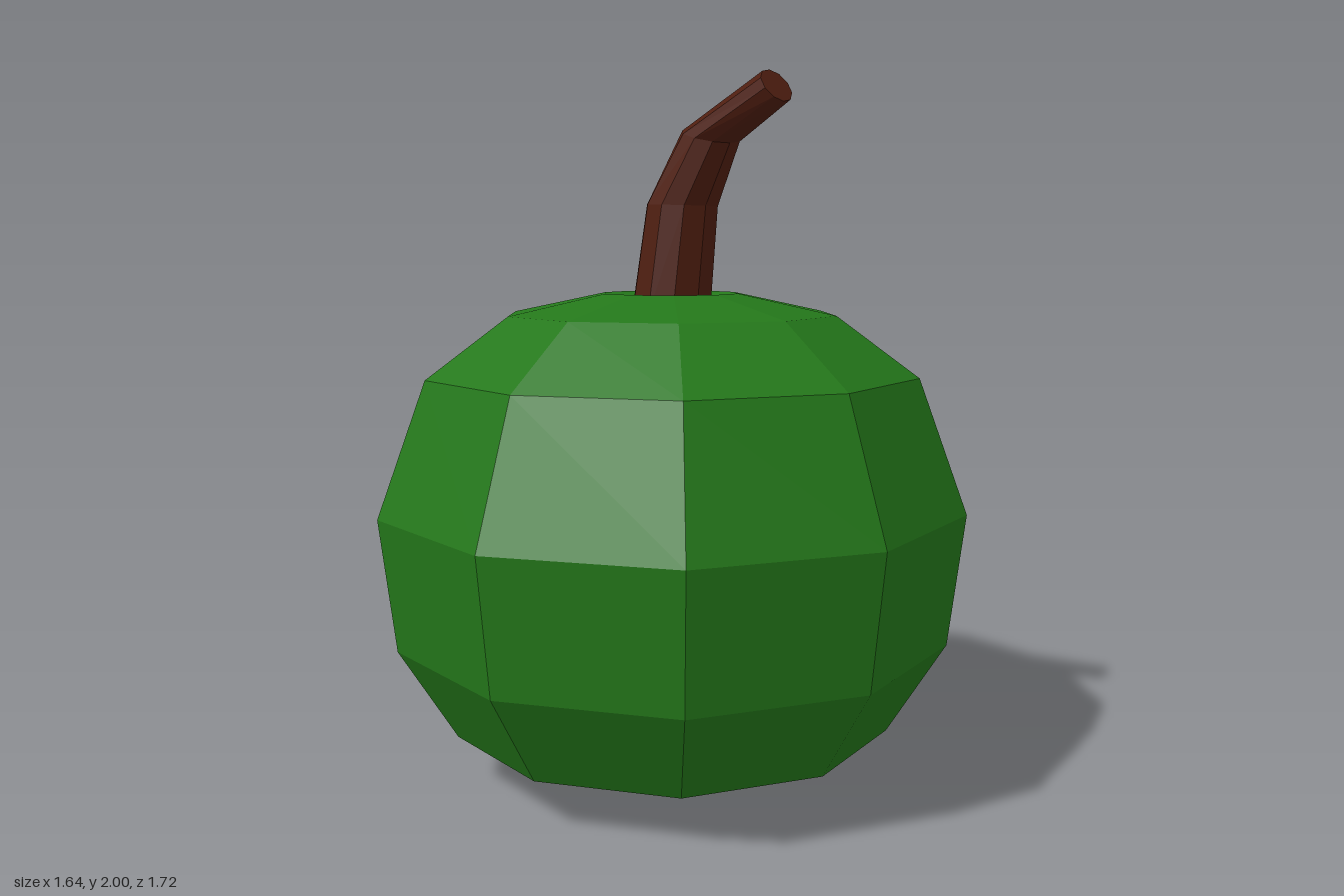
import * as THREE from 'three';

const SIDES = 10;

// Skin a tapering stem through tilted rings: { at, normal, r }
function ringTube(rings) {
  const pos = [], index = [];
  const up = new THREE.Vector3(0, 1, 0);
  for (const { at, normal, r } of rings) {
    const tilt = new THREE.Quaternion().setFromUnitVectors(up, new THREE.Vector3(...normal).normalize());
    for (let i = 0; i < SIDES; i++) {
      const a = (i / SIDES) * Math.PI * 2;
      const p = new THREE.Vector3(Math.sin(a) * r, 0, Math.cos(a) * r).applyQuaternion(tilt);
      pos.push(p.x + at[0], p.y + at[1], p.z + at[2]);
    }
  }
  for (let k = 0; k < rings.length - 1; k++) {
    for (let i = 0; i < SIDES; i++) {
      const j = (i + 1) % SIDES;
      const a = k * SIDES + i, b = k * SIDES + j;
      index.push(a, b, b + SIDES, a, b + SIDES, a + SIDES);
    }
  }
  // End caps
  const last = (rings.length - 1) * SIDES;
  for (let i = 1; i < SIDES - 1; i++) {
    index.push(last, last + i, last + i + 1);
    index.push(0, i + 1, i);
  }
  const geo = new THREE.BufferGeometry();
  geo.setAttribute('position', new THREE.Float32BufferAttribute(pos, 3));
  geo.setIndex(index);
  geo.computeVertexNormals();
  return geo;
}

export function createModel() {
  const model = new THREE.Group();
  model.name = 'pumpkin';

  // Faceted body, dented at the bottom and top
  const profile = [
    [0, 0.06], [0.31, 0], [0.65, 0.14], [0.815, 0.41], [0.86, 0.79],
    [0.72, 1.17], [0.485, 1.34], [0.2, 1.4], [0, 1.34],
  ].map(([r, y]) => new THREE.Vector2(r, y));
  const body = new THREE.Mesh(
    new THREE.LatheGeometry(profile, SIDES),
    new THREE.MeshStandardMaterial({ color: 0x24781a, flatShading: true })
  );
  body.name = 'body';
  model.add(body);

  // Bent stem leaning to the left and a little forward
  const stem = new THREE.Mesh(
    ringTube([
      { at: [0, 1.34, 0], normal: [0, 1, 0], r: 0.118 },
      { at: [0.038, 1.65, -0.002], normal: [0.03, 1, 0], r: 0.105 },
      { at: [0.137, 1.84, 0.003], normal: [0.25, 0.95, 0.13], r: 0.084 },
      { at: [0.38, 1.957, 0.066], normal: [0.8, 0.56, 0.2], r: 0.053 },
    ]),
    new THREE.MeshStandardMaterial({ color: 0x4f1e10, flatShading: true })
  );
  stem.name = 'stem';
  model.add(stem);

  return model;
}
